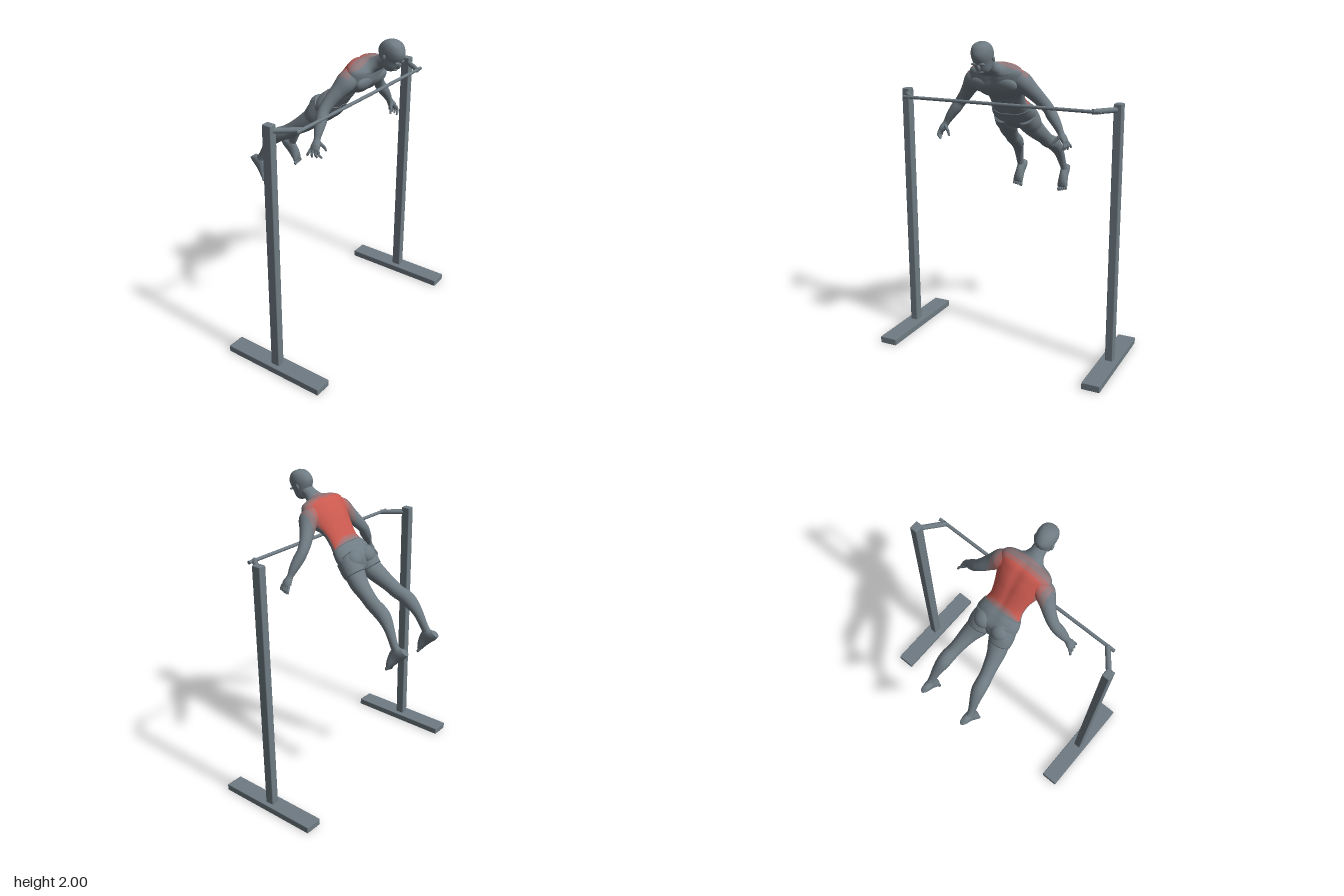
import * as THREE from 'three';
import { RoundedBoxGeometry } from 'three/addons/geometries/RoundedBoxGeometry.js';

const mat = (name, color) => {
  const m = new THREE.MeshStandardMaterial({ color });
  m.name = name;
  return m;
};

// Row helper: ring given by its back and front points in the side plane, plus half width
const sideRow = (x, zb, yb, zf, yf, w) => [x, yb, zb, x, yf, zf, w];

// Smooth closed skin through rings [Ax,Ay,Az, Bx,By,Bz, halfWidth]; s mirrors x
function loft(rows, { s = 1, steps = 40, sides = 28, grow = 1, shape = () => 1 } = {}) {
  const curve = (f) => new THREE.CatmullRomCurve3(rows.map(f), false, 'catmullrom', 0.5);
  const A = curve((r) => new THREE.Vector3(r[0] * s, r[1], r[2]));
  const B = curve((r) => new THREE.Vector3(r[3] * s, r[4], r[5]));
  const W = curve((r) => new THREE.Vector3(r[6], 0, 0));
  const rings = [];
  for (let i = 0; i <= steps; i++) {
    const t = i / steps, a = A.getPoint(t), b = B.getPoint(t);
    rings.push({ t, c: a.clone().add(b).multiplyScalar(0.5), d: a.sub(b).multiplyScalar(0.5 * grow), w: W.getPoint(t).x * grow });
  }
  const pos = [], idx = [];
  rings.forEach((r, i) => {
    const T = rings[Math.min(i + 1, steps)].c.clone().sub(rings[Math.max(i - 1, 0)].c);
    const side = r.d.clone().cross(T).normalize().multiplyScalar(r.w);
    for (let j = 0; j < sides; j++) {
      const th = (j / sides) * Math.PI * 2, k = shape(r.t, th);
      const p = r.c.clone().addScaledVector(side, Math.cos(th)).addScaledVector(r.d, Math.sin(th) * k);
      pos.push(p.x, p.y, p.z);
    }
  });
  for (let i = 0; i < steps; i++) for (let j = 0; j < sides; j++) {
    const a = i * sides + j, b = i * sides + (j + 1) % sides;
    idx.push(a, b, a + sides, b, b + sides, a + sides);
  }
  // End caps
  const n = pos.length / 3, last = steps * sides;
  for (const r of [rings[0], rings[steps]]) pos.push(r.c.x, r.c.y, r.c.z);
  for (let j = 0; j < sides; j++) {
    const k = (j + 1) % sides;
    idx.push(n, k, j, n + 1, last + j, last + k);
  }
  const g = new THREE.BufferGeometry();
  g.setAttribute('position', new THREE.Float32BufferAttribute(pos, 3));
  g.setIndex(idx);
  g.computeVertexNormals();
  return g;
}

// Sort faces into groups: 0 grey, 1 faint, 2 medium, 3 full red on the upper back
function paintBack(g) {
  const p = g.attributes.position, ix = g.index.array, lists = [[], [], [], []];
  const v = [0, 1, 2].map(() => new THREE.Vector3()), n = new THREE.Vector3(), tri = new THREE.Triangle();
  const zones = [[0.2, 0.03, 0.31], [0.165, 0.052, 0.262], [0.135, 0.068, 0.235]];
  for (let i = 0; i < ix.length; i += 3) {
    v.forEach((q, k) => q.fromBufferAttribute(p, ix[i + k]));
    tri.set(...v).getNormal(n);
    const x = Math.abs(v[0].x + v[1].x + v[2].x) / 3, z = (v[0].z + v[1].z + v[2].z) / 3;
    const facing = n.y * 0.73 - n.z * 0.68;
    let level = 0;
    zones.forEach(([w, z0, z1], k) => { if (x < w && z > z0 && z < z1 && facing > 0.05 + 0.12 * k) level = k + 1; });
    lists[level].push(ix[i], ix[i + 1], ix[i + 2]);
  }
  g.setIndex(lists.flat());
  let start = 0;
  lists.forEach((l, k) => { g.addGroup(start, l.length, k); start += l.length; });
  return g;
}

export function createModel() {
  const model = new THREE.Group();
  const grey = mat('grey', 0x6f7b83);
  const skins = [grey, mat('faintRed', 0x8c7679), mat('mediumRed', 0xab6a67), mat('red', 0xc9594f)];
  const add = (name, geo, m = grey) => {
    const mesh = new THREE.Mesh(geo, m);
    mesh.name = name;
    model.add(mesh);
    return mesh;
  };
  const ball = (name, x, y, z, rx, ry, rz, tilt = 0) => {
    const mesh = add(name, new THREE.SphereGeometry(1, 20, 14));
    mesh.position.set(x, y, z);
    mesh.scale.set(rx, ry, rz);
    mesh.rotation.x = tilt;
  };
  const rod = (name, a, b, r0, r1 = r0, sides = 12) => {
    const p = new THREE.Vector3(...a), q = new THREE.Vector3(...b), d = q.clone().sub(p);
    const mesh = add(name, new THREE.CylinderGeometry(r1, r0, d.length(), sides));
    mesh.position.copy(p).add(q).multiplyScalar(0.5);
    mesh.quaternion.setFromUnitVectors(new THREE.Vector3(0, 1, 0), d.normalize());
  };

  // Torso and neck, with a groove down the spine and breastbone
  const trunk = [
    sideRow(0, -0.065, 1.46, -0.01, 1.425, 0.05),
    sideRow(0, -0.055, 1.55, 0.03, 1.445, 0.125),
    sideRow(0, -0.01, 1.6, 0.07, 1.48, 0.14),
    sideRow(0, 0.035, 1.63, 0.11, 1.53, 0.127),
    sideRow(0, 0.068, 1.66, 0.15, 1.58, 0.115),
    sideRow(0, 0.105, 1.715, 0.2, 1.64, 0.125),
    sideRow(0, 0.14, 1.775, 0.28, 1.665, 0.15),
    sideRow(0, 0.175, 1.82, 0.33, 1.715, 0.168),
    sideRow(0, 0.215, 1.86, 0.342, 1.765, 0.168),
    sideRow(0, 0.262, 1.87, 0.345, 1.79, 0.14),
    sideRow(0, 0.3, 1.868, 0.355, 1.8, 0.075),
    sideRow(0, 0.335, 1.885, 0.385, 1.82, 0.047),
    sideRow(0, 0.38, 1.91, 0.42, 1.85, 0.043),
  ];
  const groove = (t, th) => 1 - 0.1 * Math.exp(-((Math.cos(th) / 0.17) ** 2)) * (t > 0.05 && t < 0.8 ? 1 : 0);
  add('torso', paintBack(loft(trunk, { steps: 80, sides: 64, shape: groove })), skins);
  add('shortsWaist', loft(trunk.slice(0, 4), { grow: 1.035, sides: 40, shape: (t, th) => groove(0.3, th) }));

  // Head, chin to crown
  add('head', loft([
    sideRow(0, 0.4, 1.83, 0.43, 1.812, 0.02),
    sideRow(0, 0.385, 1.86, 0.455, 1.818, 0.042),
    sideRow(0, 0.37, 1.89, 0.475, 1.835, 0.05),
    sideRow(0, 0.36, 1.925, 0.492, 1.865, 0.055),
    sideRow(0, 0.363, 1.955, 0.513, 1.895, 0.059),
    sideRow(0, 0.39, 1.985, 0.52, 1.925, 0.057),
    sideRow(0, 0.425, 1.998, 0.51, 1.96, 0.045),
    sideRow(0, 0.455, 1.998, 0.495, 1.98, 0.02),
  ]));
  ball('nose', 0, 1.853, 0.488, 0.011, 0.022, 0.012, 0.45);
  ball('lips', 0, 1.829, 0.466, 0.02, 0.008, 0.01, 0.6);

  const leg = [
    sideRow(0.075, -0.02, 1.585, 0.06, 1.47, 0.062),
    sideRow(0.078, -0.068, 1.535, 0.02, 1.425, 0.07),
    sideRow(0.08, -0.1, 1.485, -0.005, 1.405, 0.068),
    sideRow(0.1, -0.15, 1.432, -0.06, 1.36, 0.056),
    sideRow(0.115, -0.205, 1.385, -0.14, 1.315, 0.046),
    sideRow(0.125, -0.255, 1.35, -0.19, 1.28, 0.042),
    sideRow(0.134, -0.3, 1.33, -0.245, 1.255, 0.044),
    sideRow(0.14, -0.345, 1.295, -0.3, 1.222, 0.043),
    sideRow(0.15, -0.388, 1.225, -0.345, 1.18, 0.033),
    sideRow(0.16, -0.432, 1.13, -0.388, 1.1, 0.022),
    sideRow(0.162, -0.465, 1.09, -0.405, 1.065, 0.022),
  ];
  const foot = [
    sideRow(0.16, -0.513, 1.075, -0.475, 1.105, 0.018),
    sideRow(0.16, -0.495, 1.05, -0.415, 1.1, 0.026),
    sideRow(0.162, -0.455, 1.015, -0.385, 1.06, 0.028),
    sideRow(0.165, -0.42, 0.98, -0.372, 1.01, 0.034),
    sideRow(0.166, -0.398, 0.955, -0.373, 0.972, 0.034),
  ];
  const arm = [
    [0.13, 1.835, 0.25, 0.09, 1.72, 0.25, 0.055],
    [0.195, 1.8, 0.24, 0.13, 1.7, 0.24, 0.06],
    [0.237, 1.738, 0.215, 0.175, 1.665, 0.215, 0.046],
    [0.277, 1.68, 0.19, 0.223, 1.62, 0.19, 0.037],
    [0.318, 1.625, 0.178, 0.265, 1.58, 0.178, 0.033],
    [0.353, 1.575, 0.185, 0.293, 1.54, 0.185, 0.034],
    [0.382, 1.522, 0.193, 0.33, 1.5, 0.193, 0.028],
    [0.402, 1.475, 0.2, 0.363, 1.46, 0.2, 0.019],
    [0.422, 1.445, 0.205, 0.383, 1.43, 0.205, 0.029],
    [0.432, 1.42, 0.207, 0.4, 1.408, 0.207, 0.03],
  ];

  for (const s of [1, -1]) {
    // Body parts of one side
    const L = s > 0 ? 'left' : 'right';
    add(L + 'Leg', loft(leg, { s, steps: 60 }));
    add(L + 'ShortsLeg', loft(leg.slice(0, 3), { s, grow: 1.05, steps: 16 }));
    add(L + 'Foot', loft(foot, { s, steps: 24 }));
    for (let i = 0; i < 5; i++)
      ball(L + 'Toe', s * (0.14 + i * 0.0135), 0.95 + i * 0.003, -0.384, i ? 0.007 : 0.01, 0.015, 0.009, -0.3);
    add(L + 'Arm', paintBack(loft(arm, { s, steps: 60 })), skins);
    ball(L + 'Buttock', s * 0.063, 1.532, -0.025, 0.06, 0.062, 0.053, 0.8);
    ball(L + 'Pectoral', s * 0.075, 1.738, 0.305, 0.075, 0.05, 0.032, 0.35);
    ball(L + 'Ear', s * 0.059, 1.902, 0.42, 0.007, 0.02, 0.012, 0.5);
    ball(L + 'Brow', s * 0.024, 1.876, 0.494, 0.02, 0.007, 0.009, 0.6);

    // Spread fingers and thumb
    for (let i = 0; i < 4; i++) {
      const z = 0.184 + i * 0.016, k = [s * (0.415 + i * 0.001), 1.418, z];
      const mid = [s * (0.434 - i * 0.004), 1.392, z + (i - 1.5) * 0.006];
      const tip = [s * (0.438 - i * 0.012), 1.37 + (i === 0 ? 0.008 : 0), z + (i - 1.5) * 0.01];
      rod(L + 'Finger', k, mid, 0.009, 0.008, 8);
      rod(L + 'FingerTip', mid, tip, 0.008, 0.006, 8);
      ball(L + 'Knuckle', ...mid, 0.008, 0.008, 0.008);
    }
    rod(L + 'Thumb', [s * 0.385, 1.45, 0.215], [s * 0.357, 1.418, 0.23], 0.012, 0.009, 8);
    rod(L + 'ThumbTip', [s * 0.357, 1.418, 0.23], [s * 0.345, 1.39, 0.236], 0.009, 0.006, 8);

    // Stand of one side
    add(L + 'Base', new RoundedBoxGeometry(0.115, 0.043, 0.705, 1, 0.004)).position.set(s * 0.707, 0.0215, 0.125);
    add(L + 'Post', new RoundedBoxGeometry(0.05, 1.62, 0.06, 1, 0.006)).position.set(s * 0.709, 0.842, 0.125);
    rod(L + 'Bracket', [s * 0.705, 1.617, 0.14], [s * 0.6, 1.617, 0.268], 0.016);
  }
  // Horizontal bar
  rod('bar', [-0.65, 1.617, 0.265], [0.65, 1.617, 0.265], 0.0105);
  return model;
}
